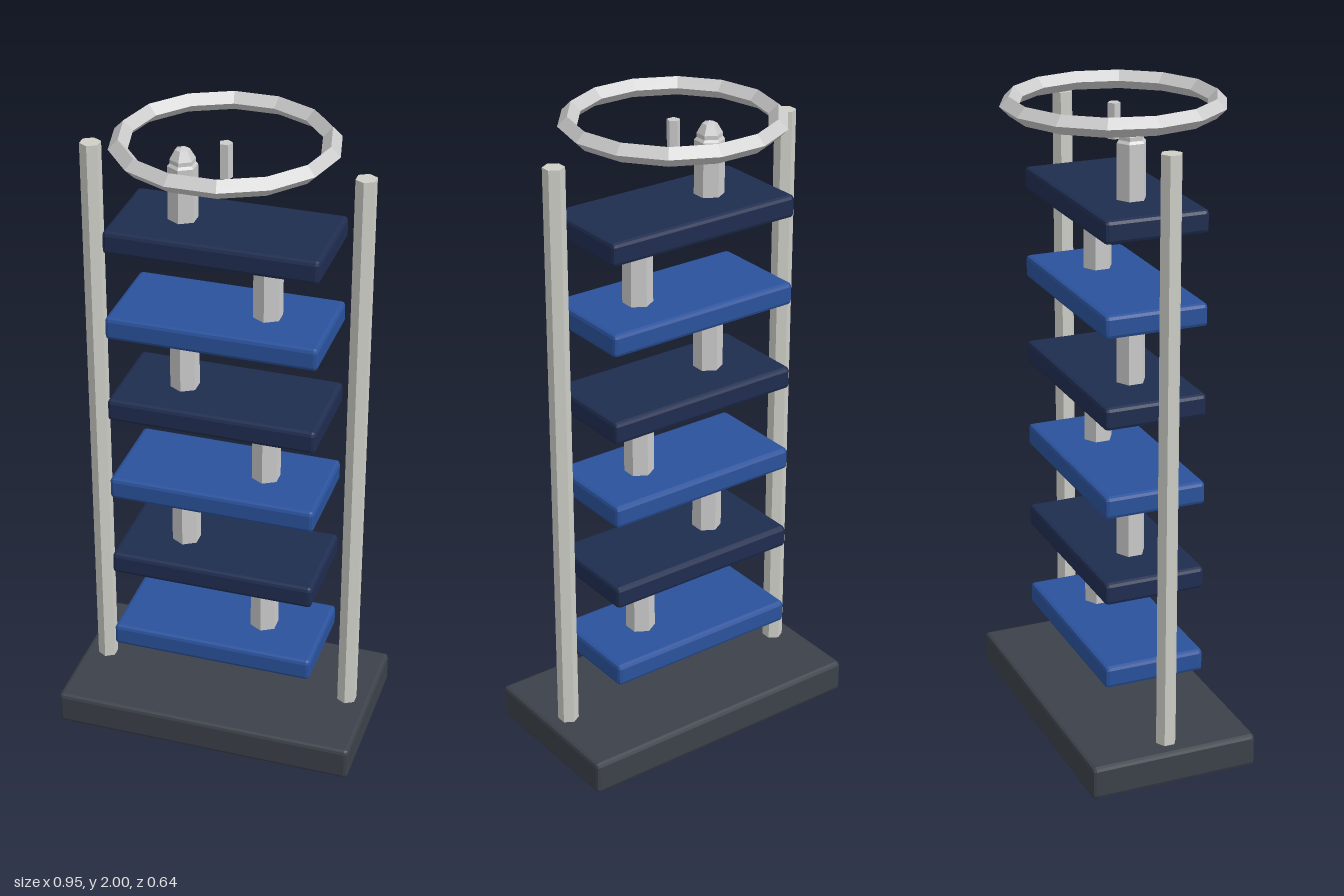
import * as THREE from 'three';
import { RoundedBoxGeometry } from 'three/addons/geometries/RoundedBoxGeometry.js';

const mat = (color) => new THREE.MeshStandardMaterial({ color, flatShading: true });

export function createModel() {
  const model = new THREE.Group();
  model.name = 'tieredRack';

  const dark = mat(0x3c4149), navy = mat(0x1f2d50), blue = mat(0x2a529c);
  const metal = mat(0xcfcfc8), silver = mat(0xcccccc);

  const add = (name, geometry, material, x, y, z = 0) => {
    const mesh = new THREE.Mesh(geometry, material);
    mesh.name = name;
    mesh.position.set(x, y, z);
    model.add(mesh);
    return mesh;
  };

  // Bevelled base slab
  add('base', new RoundedBoxGeometry(0.955, 0.105, 0.53, 1, 0.012), dark, 0, 0.0525);

  // Hexagonal side posts
  const postGeo = new THREE.CylinderGeometry(0.032, 0.032, 1.83, 6);
  add('leftPost', postGeo, metal, 0.405, 1.005);
  add('rightPost', postGeo, metal, -0.405, 1.005);

  // Six floating shelves, each carrying a domed peg on alternating sides
  const shelfGeo = new RoundedBoxGeometry(0.64, 0.07, 0.318, 1, 0.012);
  const pegProfile = [
    [0, 0], [0.045, 0], [0.045, 0.17], [0.038, 0.178], [0.038, 0.19],
    [0.022, 0.218], [0, 0.226],
  ].map(([r, y]) => new THREE.Vector2(r, y));
  const pegGeo = new THREE.LatheGeometry(pegProfile, 6);
  for (let i = 0; i < 6; i++) {
    const y = 0.305 + i * 0.2765;
    const even = i % 2 === 0;
    add(`shelf${i + 1}`, shelfGeo, even ? blue : navy, 0, y);
    add(`peg${i + 1}`, pegGeo, silver, even ? 0.128 : -0.128, y + 0.03);
  }

  // Faceted ring on top, with a short pin at its centre
  const ring = add('topRing', new THREE.TorusGeometry(0.302, 0.028, 4, 14), silver, 0, 1.972);
  ring.rotation.x = -Math.PI / 2;
  const pin = add('centrePin', new THREE.CylinderGeometry(0.02, 0.02, 0.105, 5), silver, 0, 1.92);
  pin.rotation.y = Math.PI;

  return model;
}
